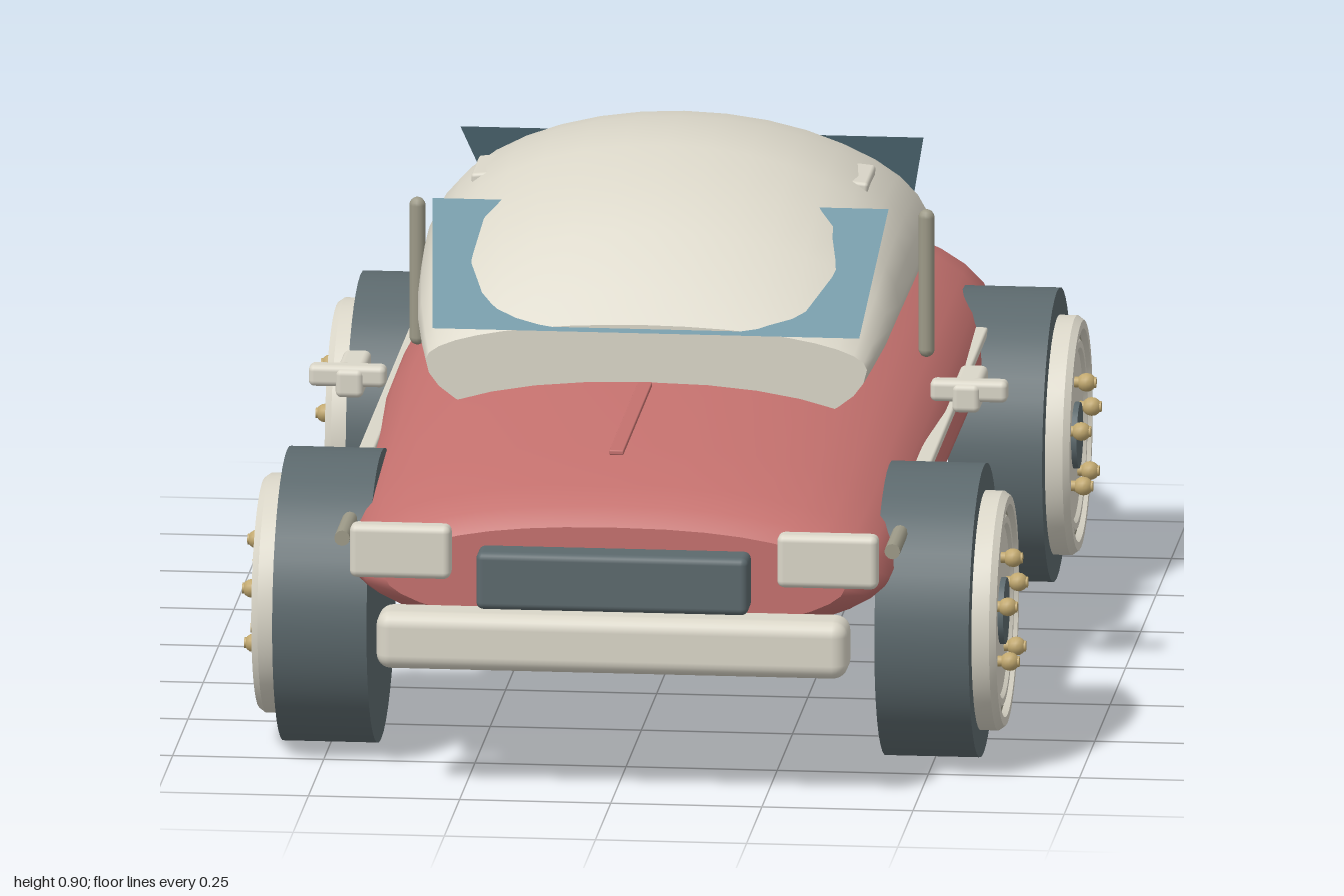
import * as THREE from 'three';
import { toCreasedNormals } from 'three/addons/utils/BufferGeometryUtils.js';
import { RoundedBoxGeometry } from 'three/addons/geometries/RoundedBoxGeometry.js';

const material = (name, color, side = THREE.FrontSide) => {
  const m = new THREE.MeshStandardMaterial({ color, side });
  m.name = name;
  return m;
};
const red = material('body red', 0xc4716e);
const cream = material('cream', 0xdad6c8);
const rubber = material('dark grey', 0x5c696d);
const pewter = material('pewter', 0x9d9a88);
const gold = material('brass', 0xc2a970);
const glass = material('glass blue', 0x7297a5, THREE.DoubleSide);
const sideGlass = material('side glass blue', 0x7297a5);

function add(parent, name, geometry, mat, x = 0, y = 0, z = 0) {
  const mesh = new THREE.Mesh(geometry, mat);
  mesh.name = name;
  mesh.position.set(x, y, z);
  parent.add(mesh);
  return mesh;
}

// Rounded box given by its ranges on each axis
function block(parent, name, mat, [x0, x1], [y0, y1], [z0, z1], r = 0.012) {
  const w = x1 - x0, h = y1 - y0, d = z1 - z0;
  const g = new RoundedBoxGeometry(w, h, d, 3, Math.min(r, w * 0.45, h * 0.45, d * 0.45));
  return add(parent, name, g, mat, (x0 + x1) / 2, (y0 + y1) / 2, (z0 + z1) / 2);
}

// Closed loft, front to back; each station is [z, half width, top, bottom, height of widest line]
function loft(stations, nTop, nBottom, seg = 36) {
  const pos = [], index = [];
  const ring = ([z, w, top, bottom, mid]) => {
    for (let j = 0; j < seg; j++) {
      const a = (j / seg) * Math.PI * 2, c = Math.cos(a), s = Math.sin(a);
      const p = 2 / (s >= 0 ? nTop : nBottom);
      const h = s >= 0 ? top - mid : mid - bottom;
      pos.push(w * Math.sign(c) * Math.abs(c) ** p, mid + h * Math.sign(s) * Math.abs(s) ** p, z);
    }
  };
  stations.forEach(ring);
  for (let i = 0; i < stations.length - 1; i++) {
    for (let j = 0; j < seg; j++) {
      const k = (j + 1) % seg, a = i * seg + j, b = i * seg + k;
      index.push(a, a + seg, b, b, a + seg, b + seg);
    }
  }
  // End caps with their own vertices
  for (const end of [0, stations.length - 1]) {
    const start = pos.length / 3, st = stations[end];
    ring(st);
    pos.push(0, st[4], st[0]);
    for (let j = 0; j < seg; j++) {
      const a = start + j, b = start + (j + 1) % seg;
      index.push(start + seg, ...(end === 0 ? [a, b] : [b, a]));
    }
  }
  const g = new THREE.BufferGeometry();
  g.setAttribute('position', new THREE.Float32BufferAttribute(pos, 3));
  g.setIndex(index);
  g.computeVertexNormals();
  return g;
}

// Flat four-cornered pane, corners counter-clockwise from outside
function pane(corners) {
  const g = new THREE.BufferGeometry();
  g.setAttribute('position', new THREE.Float32BufferAttribute(corners.flat(), 3));
  g.setIndex([0, 1, 2, 0, 2, 3]);
  g.computeVertexNormals();
  return g;
}

function createWheel(side) {
  const wheel = new THREE.Group();
  wheel.name = 'wheel';
  add(wheel, 'tyre', new THREE.CylinderGeometry(0.243, 0.243, 0.156, 40), rubber);
  // Rim with a stepped lip and a recessed face
  const profile = [[0.198, 0.07], [0.198, 0.107], [0.19, 0.118], [0.176, 0.118], [0.17, 0.106],
    [0.164, 0.106], [0.156, 0.113], [0.145, 0.113], [0.14, 0.107], [0, 0.107]];
  const rim = new THREE.LatheGeometry(profile.map(p => new THREE.Vector2(...p)), 40);
  add(wheel, 'rim', toCreasedNormals(rim, 0.5), cream);
  const groove = new THREE.RingGeometry(0.163, 0.171, 40).rotateX(-Math.PI / 2);
  add(wheel, 'rimGroove', groove, pewter, 0, 0.108, 0);
  add(wheel, 'hubCap', new THREE.CylinderGeometry(0.055, 0.055, 0.02, 24), rubber, 0, 0.106, 0);
  for (let i = 0; i < 5; i++) {
    const a = (i / 5) * Math.PI * 2;
    const x = -side * 0.09 * Math.cos(a), z = 0.09 * Math.sin(a);
    add(wheel, 'lugNut', new THREE.SphereGeometry(0.016, 12, 8), gold, x, 0.127, z);
    add(wheel, 'lugStud', new THREE.CylinderGeometry(0.009, 0.009, 0.04, 10), gold, x, 0.123, z);
  }
  wheel.rotation.z = -side * Math.PI / 2;
  return wheel;
}

export function createModel() {
  const car = new THREE.Group();
  car.name = 'car';

  add(car, 'body', loft([
    [0.93, 0.38, 0.45, 0.27, 0.355], [0.905, 0.42, 0.48, 0.25, 0.355],
    [0.85, 0.446, 0.503, 0.235, 0.36], [0.7, 0.458, 0.532, 0.22, 0.37],
    [0.4, 0.465, 0.573, 0.205, 0.385], [0.1, 0.474, 0.597, 0.2, 0.4],
    [-0.2, 0.475, 0.6, 0.2, 0.4], [-0.5, 0.47, 0.591, 0.205, 0.39],
    [-0.7, 0.465, 0.58, 0.215, 0.375], [-0.83, 0.455, 0.558, 0.23, 0.365],
    [-0.9, 0.42, 0.52, 0.25, 0.36], [-0.935, 0.37, 0.45, 0.27, 0.355],
  ], 2.3, 1.8), red);

  add(car, 'cabin', loft([
    [0.42, 0.365, 0.667, 0.47, 0.6], [0.38, 0.375, 0.715, 0.48, 0.615],
    [0.3, 0.39, 0.797, 0.49, 0.64], [0.22, 0.398, 0.853, 0.5, 0.66],
    [0.1, 0.405, 0.893, 0.51, 0.675], [0, 0.408, 0.9, 0.515, 0.68],
    [-0.1, 0.408, 0.893, 0.515, 0.678], [-0.2, 0.405, 0.877, 0.51, 0.67],
    [-0.3, 0.4, 0.845, 0.5, 0.655], [-0.4, 0.39, 0.78, 0.485, 0.63],
    [-0.46, 0.38, 0.718, 0.475, 0.612], [-0.5, 0.37, 0.667, 0.47, 0.6],
  ], 2, 2), cream);

  // Flat panes that the roof bulges through
  add(car, 'windshield', pane([[-0.353, 0.655, 0.428], [0.353, 0.655, 0.428],
    [0.377, 0.815, 0.185], [-0.377, 0.815, 0.185]]), glass);
  add(car, 'rearWindow', pane([[0.35, 0.665, -0.48], [-0.35, 0.665, -0.48],
    [-0.383, 0.81, -0.325], [0.383, 0.81, -0.325]]), glass);
  for (const x of [-0.403, 0.403]) {
    add(car, 'sideWindow', pane([[x, 0.565, -0.29], [x, 0.565, 0.3],
      [x, 0.745, 0.21], [x, 0.745, -0.21]]), sideGlass);
  }

  // Front and rear fittings
  block(car, 'frontBumper', cream, [-0.39, 0.39], [0.215, 0.312], [0.91, 1], 0.025);
  block(car, 'grille', rubber, [-0.225, 0.225], [0.318, 0.415], [0.92, 0.985]);
  block(car, 'hoodStrip', red, [-0.012, 0.012], [0.568, 0.576], [0.44, 0.91], 0.002);
  block(car, 'rearBumper', cream, [-0.39, 0.39], [0.22, 0.315], [-1, -0.91], 0.025);
  block(car, 'rearPlate', cream, [-0.165, 0.165], [0.3, 0.352], [-0.982, -0.955], 0.006);

  for (const side of [1, -1]) {
    const span = (a, b) => (side > 0 ? [a, b] : [-b, -a]);
    block(car, 'headlight', cream, span(0.27, 0.437), [0.36, 0.45], [0.918, 0.957]);
    block(car, 'tailLight', red, span(0.25, 0.415), [0.31, 0.405], [-0.957, -0.92], 0.008);
    block(car, 'sideTrim', cream, span(0.447, 0.474), [0.437, 0.453], [-0.48, 0.48], 0.004);

    const rod = add(car, 'frontRod', new THREE.CylinderGeometry(0.013, 0.013, 0.13, 12),
      pewter, side * 0.455, 0.412, 0.83);
    rod.rotation.x = Math.PI / 2;
    add(car, 'doorPillar', new THREE.CapsuleGeometry(0.0135, 0.223, 4, 12), pewter, side * 0.421, 0.645, 0);

    block(car, 'mirrorArm', cream, span(0.45, 0.578), [0.502, 0.538], [0.2, 0.235], 0.01);
    block(car, 'mirrorHead', cream, span(0.487, 0.533), [0.485, 0.533], [0.095, 0.24], 0.01);

    const handle = block(car, 'roofHandle', cream, span(0.26, 0.328), [0.803, 0.825], [-0.088, 0.042], 0.006);
    handle.rotation.z = -side * 0.1;

    for (const z of [0.6, -0.6]) {
      const wheel = createWheel(side);
      wheel.position.set(side * 0.498, 0.243, z);
      car.add(wheel);
    }
  }
  return car;
}
